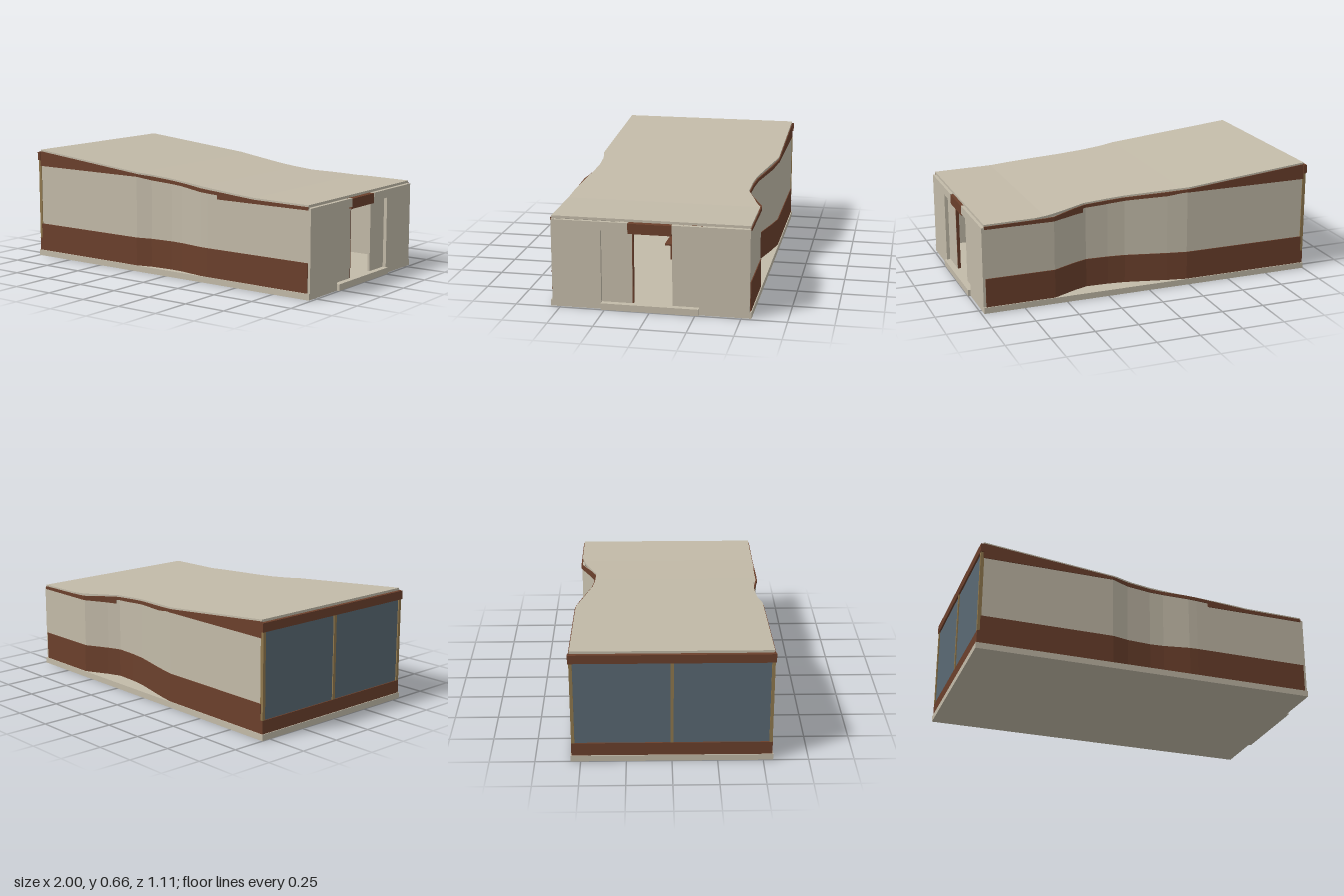
import * as THREE from 'three';

const mat = (name, color) => {
  const m = new THREE.MeshStandardMaterial({ color });
  m.name = name;
  return m;
};

// Piecewise linear lookup in a list of [x, value] pairs
function at(list, x) {
  if (x <= list[0][0]) return list[0][1];
  for (let i = 1; i < list.length; i++) {
    const [x0, v0] = list[i - 1], [x1, v1] = list[i];
    if (x <= x1) return v0 + (v1 - v0) * (x - x0) / (x1 - x0);
  }
  return list[list.length - 1][1];
}

// Closed solid through four-sided cross-sections along x; section(x) gives [yLow, yHigh, zMin, zMax]
function loft(xs, section) {
  const pos = [];
  const rings = xs.map((x) => {
    const [y0, y1, z0, z1] = section(x);
    return [[x, y1, z0], [x, y1, z1], [x, y0, z1], [x, y0, z0]];
  });
  const quad = (a, b, c, d) => pos.push(...a, ...b, ...c, ...a, ...c, ...d);
  for (let i = 1; i < rings.length; i++) {
    const a = rings[i - 1], b = rings[i];
    for (let k = 0; k < 4; k++) quad(a[k], a[(k + 1) % 4], b[(k + 1) % 4], b[k]);
  }
  const e = rings[rings.length - 1], s = rings[0];
  quad(e[0], e[1], e[2], e[3]);
  quad(s[3], s[2], s[1], s[0]);
  const g = new THREE.BufferGeometry();
  g.setAttribute('position', new THREE.Float32BufferAttribute(pos, 3));
  g.computeVertexNormals();
  return g;
}

export function createModel() {
  const model = new THREE.Group();
  model.name = 'pavilion';
  const plaster = mat('plaster', 0xc2baa8);
  const wood = mat('dark wood', 0x6b402c);
  const glass = mat('window glass', 0x596973);
  const trim = mat('tan trim', 0x90784e);

  const add = (name, geo, material) => {
    const m = new THREE.Mesh(geo, material);
    m.name = name;
    model.add(m);
    return m;
  };
  // Box given by its limits on each axis
  const box = (name, material, x0, x1, y0, y1, z0, z1) => {
    const m = add(name, new THREE.BoxGeometry(x1 - x0, y1 - y0, z1 - z0), material);
    m.position.set((x0 + x1) / 2, (y0 + y1) / 2, (z0 + z1) / 2);
    return m;
  };

  // Plan curves, roof profile and the lower edge of the upper wood band
  const frontWall = [[-0.215, 0.545], [-0.12, 0.522], [0.02, 0.512], [0.1, 0.517], [0.25, 0.543], [0.3, 0.545]];
  const backWall = [[-0.235, 0.545], [-0.12, 0.522], [0.12, 0.464], [0.22, 0.452], [0.35, 0.447], [0.43, 0.477], [0.57, 0.545]];
  const frontRoof = [[-0.2, 0.545], [-0.1, 0.522], [0.02, 0.514], [0.15, 0.52], [0.3, 0.535], [0.5, 0.545]];
  const backRoof = [[-0.25, 0.545], [-0.1, 0.51], [0.12, 0.46], [0.22, 0.45], [0.36, 0.447], [0.5, 0.5], [0.58, 0.525], [0.68, 0.545]];
  const roofTop = [[-0.98, 0.66], [-0.2, 0.585], [0.25, 0.545], [0.62, 0.517], [0.97, 0.512]];
  const bandLow = [[-0.21, 0.56], [-0.12, 0.545], [0.1, 0.53], [0.25, 0.515], [0.37, 0.508], [0.371, 0.485]];
  const roofUnder = (x) => at(roofTop, x) - 0.014;
  const stations = (...lists) =>
    [...new Set([-0.98, 0.97, ...lists.flat().map((p) => p[0])])].sort((a, b) => a - b);

  // Floor slab and doorstep
  box('floorSlab', plaster, -1, 0.985, 0, 0.035, -0.555, 0.555);
  box('doorstep', plaster, 0.985, 1, 0, 0.037, -0.27, 0.27);

  // Sloping roof with curved edges
  add('roof', loft(stations(frontRoof, backRoof, roofTop),
    (x) => [roofUnder(x), at(roofTop, x), -at(backRoof, x), at(frontRoof, x)]), plaster);

  // Curved long walls with wood bands
  for (const [side, plan, sign] of [['front', frontWall, 1], ['back', backWall, -1]]) {
    const xs = stations(plan, roofTop, bandLow);
    const strip = (name, material, low, high, out, depth) => add(side + name, loft(xs, (x) => {
      const o = at(plan, x) + out, i = o - depth;
      return sign > 0 ? [low(x), high(x), i, o] : [low(x), high(x), -o, -i];
    }), material);
    strip('Wall', plaster, () => 0.035, (x) => roofUnder(x) - 0.002, 0, 0.015);
    strip('LowerBand', wood, () => 0.035, () => 0.2, 0.005, 0.008);
    strip('UpperBand', wood, (x) => at(bandLow, x), (x) => roofUnder(x) + 0.004, 0.005, 0.008);
  }

  // Entrance wall with recessed sliding doors
  for (const s of [1, -1]) {
    const z = [0.27 * s, 0.545 * s].sort((a, b) => a - b);
    box('entranceWall', plaster, 0.965, 0.985, 0.035, 0.495, ...z);
    const d = (s > 0 ? [0.1, 0.28] : [-0.28, -0.12]);
    box('slidingDoor', plaster, 0.95, 0.963, 0.036, 0.445, ...d);
    const h = [0.12 * s, 0.27 * s].sort((a, b) => a - b);
    box('entranceHeader', plaster, 0.965, 0.985, 0.447, 0.495, ...h);
  }
  box('doorLintel', wood, 0.95, 0.984, 0.435, 0.492, -0.12, 0.12);
  box('doorEdge', wood, 0.945, 0.962, 0.036, 0.435, 0.093, 0.1);

  // Glazed end wall
  box('windowSill', wood, -0.995, -0.975, 0.035, 0.11, -0.55, 0.55);
  box('windowHead', wood, -0.998, -0.975, 0.595, 0.645, -0.555, 0.555);
  box('windowPane', glass, -0.988, -0.98, 0.11, 0.595, -0.545, 0.545);
  for (const z of [-0.54, 0, 0.54])
    box('windowPost', trim, -0.995, -0.975, 0.11, 0.595, z - 0.009, z + 0.009);

  // Table and bench inside
  box('tableTop', wood, -0.2, 0.2, 0.128, 0.138, -0.075, 0.078);
  for (const x of [-0.17, 0.17]) for (const z of [-0.04, 0.042])
    box('tableLeg', wood, x - 0.006, x + 0.006, 0.035, 0.128, z - 0.006, z + 0.006);
  box('bench', wood, -0.5, -0.3, 0.06, 0.072, -0.04, 0.042);
  for (const x of [-0.48, -0.32])
    box('benchLeg', wood, x - 0.006, x + 0.006, 0.035, 0.06, -0.035, 0.037);
  box('lowPartition', wood, 0.3, 0.7, 0.035, 0.24, -0.123, -0.116);

  // Slanted ceiling braces
  for (const s of [1, -1]) {
    const brace = box('ceilingBrace', plaster, -0.4, 0.4, 0.403, 0.411, -0.03, 0.03);
    brace.position.z = 0.075 * s;
    brace.rotation.x = -0.4 * s;
  }
  return model;
}
